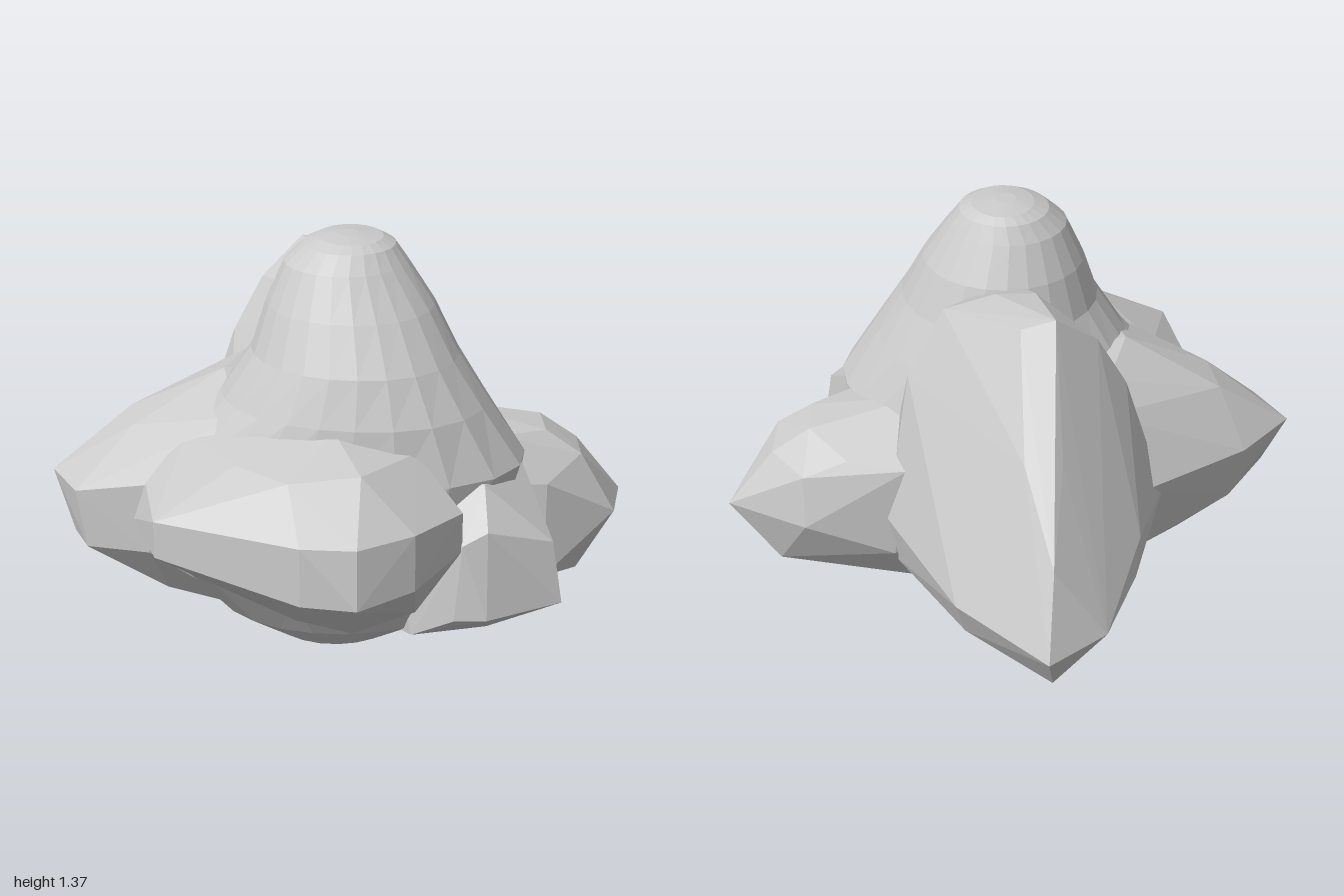
import * as THREE from 'three';
import { ConvexGeometry } from 'three/addons/geometries/ConvexGeometry.js';

const material = new THREE.MeshStandardMaterial({ color: 0xcccccc, flatShading: true });

// Faceted lump wrapped around a few corner points
function lump(name, corners) {
  const mesh = new THREE.Mesh(
    new ConvexGeometry(corners.map(c => new THREE.Vector3(...c))), material);
  mesh.name = name;
  return mesh;
}

// Closed loft through oval sections: [y, xMin, xMax, zMin, zMax, bulge towards +x +z]
function ovalLoft(name, sections, sides) {
  const pos = [], index = [];
  const last = sections.length - 1;
  for (const [y, x0, x1, z0, z1, bulge] of sections) {
    for (let i = 0; i < sides; i++) {
      const a = i / sides * Math.PI * 2;
      const k = 1 + bulge * Math.max(0, Math.cos(a - Math.PI / 4)) ** 4;
      pos.push((x0 + x1) / 2 + k * Math.cos(a) * (x1 - x0) / 2, y,
        (z0 + z1) / 2 + k * Math.sin(a) * (z1 - z0) / 2);
    }
  }
  for (let r = 0; r < last; r++) {
    for (let i = 0; i < sides; i++) {
      const j = (i + 1) % sides;
      const a = r * sides + i, b = r * sides + j, c = a + sides, d = b + sides;
      index.push(a, c, b, b, c, d);
    }
  }
  for (let i = 1; i < sides - 1; i++) {
    index.push(0, i, i + 1);
    index.push(last * sides, last * sides + i + 1, last * sides + i);
  }
  const geo = new THREE.BufferGeometry();
  geo.setAttribute('position', new THREE.Float32BufferAttribute(pos, 3));
  geo.setIndex(index);
  geo.computeVertexNormals();
  const mesh = new THREE.Mesh(geo, material);
  mesh.name = name;
  return mesh;
}

export function createModel() {
  const rock = new THREE.Group();
  rock.name = 'rock';

  // Flat foot, wide waist and tapering blunt peak with one heavy shoulder
  rock.add(ovalLoft('coreAndPeak', [
    [0, -0.27, 0.2, -0.1, 0.4, 0],
    [0.1, -0.44, 0.42, -0.2, 0.52, 0],
    [0.3, -0.62, 0.54, -0.28, 0.64, 0],
    [0.5, -0.63, 0.55, -0.28, 0.64, 0.08],
    [0.66, -0.58, 0.53, -0.2, 0.61, 0.22],
    [0.85, -0.41, 0.43, -0.16, 0.6, 0.16],
    [1.0, -0.31, 0.35, -0.1, 0.56, 0.1],
    [1.15, -0.26, 0.28, -0.06, 0.48, 0.06],
    [1.28, -0.2, 0.2, 0, 0.4, 0],
    [1.335, -0.14, 0.16, 0.03, 0.35, 0],
    [1.355, -0.09, 0.12, 0.06, 0.31, 0],
    [1.365, -0.03, 0.04, 0.15, 0.23, 0],
  ], 24));

  // Tall broad-shouldered back ridge sloping to a point
  rock.add(lump('backRidge', [
    [-0.13, 1.2, -0.36], [-0.02, 1.17, -0.36], [-0.14, 0.84, -0.63], [-0.02, 0.84, -0.63],
    [-0.1, 0.6, -0.86], [-0.08, 0.35, -1], [-0.27, 0.35, -0.85], [-0.1, 0.17, -0.86],
    [0.2, 0.35, -0.69], [0.17, 0.2, -0.62], [0.32, 0.4, -0.4], [0.28, 0.62, -0.38],
    [-0.38, 0.4, -0.62], [-0.4, 0.5, -0.54], [-0.28, 0.2, -0.6], [-0.05, 0.06, -0.48],
    [-0.2, 0.01, -0.08], [0.13, 0.01, -0.08], [0.05, 1.17, -0.12], [-0.08, 1.17, -0.12],
    [-0.5, 0.5, -0.27], [0.42, 0.4, -0.26], [-0.27, 1.08, -0.27], [-0.37, 0.9, -0.24],
    [0.22, 1.13, -0.14], [0.34, 0.9, -0.16], [-0.45, 0.22, -0.2],
    [0.4, 0.2, -0.2], [0, 1.1, 0.1], [-0.4, 0.5, 0.05], [0.4, 0.5, 0.05], [0, 0.05, 0.1],
  ]));

  // Lobes around the waist, rooted deep in the core
  rock.add(lump('rightLobe', [
    [-0.98, 0.53, 0.11], [-0.89, 0.53, 0.3], [-0.91, 0.33, 0.17], [-0.86, 0.33, 0.3],
    [-0.72, 0.72, 0.02], [-0.7, 0.72, 0.2], [-0.8, 0.53, -0.09], [-0.76, 0.33, -0.06],
    [-0.52, 0.55, -0.27], [-0.6, 0.15, 0.02], [-0.6, 0.16, 0.27], [-0.38, 0.1, 0],
    [-0.35, 0.1, 0.3], [-0.4, 0.88, 0.1], [-0.32, 0.86, -0.16], [-0.65, 0.35, 0.4],
    [-0.63, 0.6, 0.42], [-0.35, 0.82, 0.4], [-0.42, 0.25, -0.25], [-0.1, 0.85, 0],
    [-0.43, 0.55, -0.35], [-0.3, 0.8, -0.28], [-0.1, 0.5, -0.3], [-0.1, 0.1, 0.1],
  ]));
  rock.add(lump('leftLobe', [
    [0.97, 0.35, -0.07], [0.92, 0.35, 0.13], [0.8, 0.56, 0.12], [0.81, 0.55, -0.06],
    [0.68, 0.64, 0.1], [0.68, 0.64, -0.06], [0.8, 0.13, 0.11], [0.8, 0.14, -0.1],
    [0.67, 0.5, 0.24], [0.67, 0.16, 0.24], [0.7, 0.35, -0.23], [0.7, 0.53, -0.2],
    [0.5, 0.06, 0], [0.55, 0.6, -0.21], [0.5, 0.66, 0.2], [0.25, 0.03, 0.2],
    [0.3, 0.08, -0.15], [0.3, 0.72, 0], [0.35, 0.6, -0.28], [0.4, 0.25, -0.25],
    [0.05, 0.5, -0.2], [0.05, 0.5, 0.25],
  ]));
  // Wide front shelf sweeping from the centre round to one corner
  rock.add(lump('frontShelf', [
    [-0.17, 0.62, 0.96], [0, 0.62, 0.98], [0, 0.43, 1], [-0.17, 0.43, 0.96],
    [0.18, 0.62, 0.88], [0.18, 0.44, 0.89], [0.34, 0.61, 0.7], [0.34, 0.48, 0.7],
    [0.02, 0.78, 0.8], [-0.2, 0.76, 0.8], [-0.05, 0.83, 0.58], [0.2, 0.77, 0.6],
    [0, 0.2, 0.7], [0.2, 0.25, 0.66], [-0.18, 0.24, 0.68], [0.2, 0.7, 0.4], [0, 0.12, 0.5],
    [-0.61, 0.62, 0.75], [-0.61, 0.5, 0.75], [-0.4, 0.62, 0.84], [-0.4, 0.47, 0.83],
    [-0.65, 0.62, 0.45], [-0.69, 0.5, 0.46], [-0.36, 0.76, 0.65],
    [-0.26, 0.2, 0.5], [-0.52, 0.74, 0.3], [-0.25, 0.82, 0.45], [-0.5, 0.28, 0.35],
    [0, 0.5, 0.2],
  ]));
  rock.add(lump('frontLeftLobe', [
    [0.67, 0.26, 0.63], [0.67, 0.26, 0.45], [0.61, 0.26, 0.27], [0.64, 0.46, 0.6],
    [0.57, 0.62, 0.32], [0.42, 0.65, 0.58], [0.42, 0.54, 0.7], [0.42, 0.25, 0.73],
    [0.34, 0.5, 0.71], [0.32, 0.23, 0.69], [0.45, 0.1, 0.48], [0.37, 0.06, 0.26],
    [0.56, 0.15, 0.48], [0.3, 0.66, 0.5], [0.6, 0.42, 0.26], [0.1, 0.5, 0.3],
    [0.1, 0.04, 0.3], [0.2, 0.1, 0.53],
  ]));
  return rock;
}
